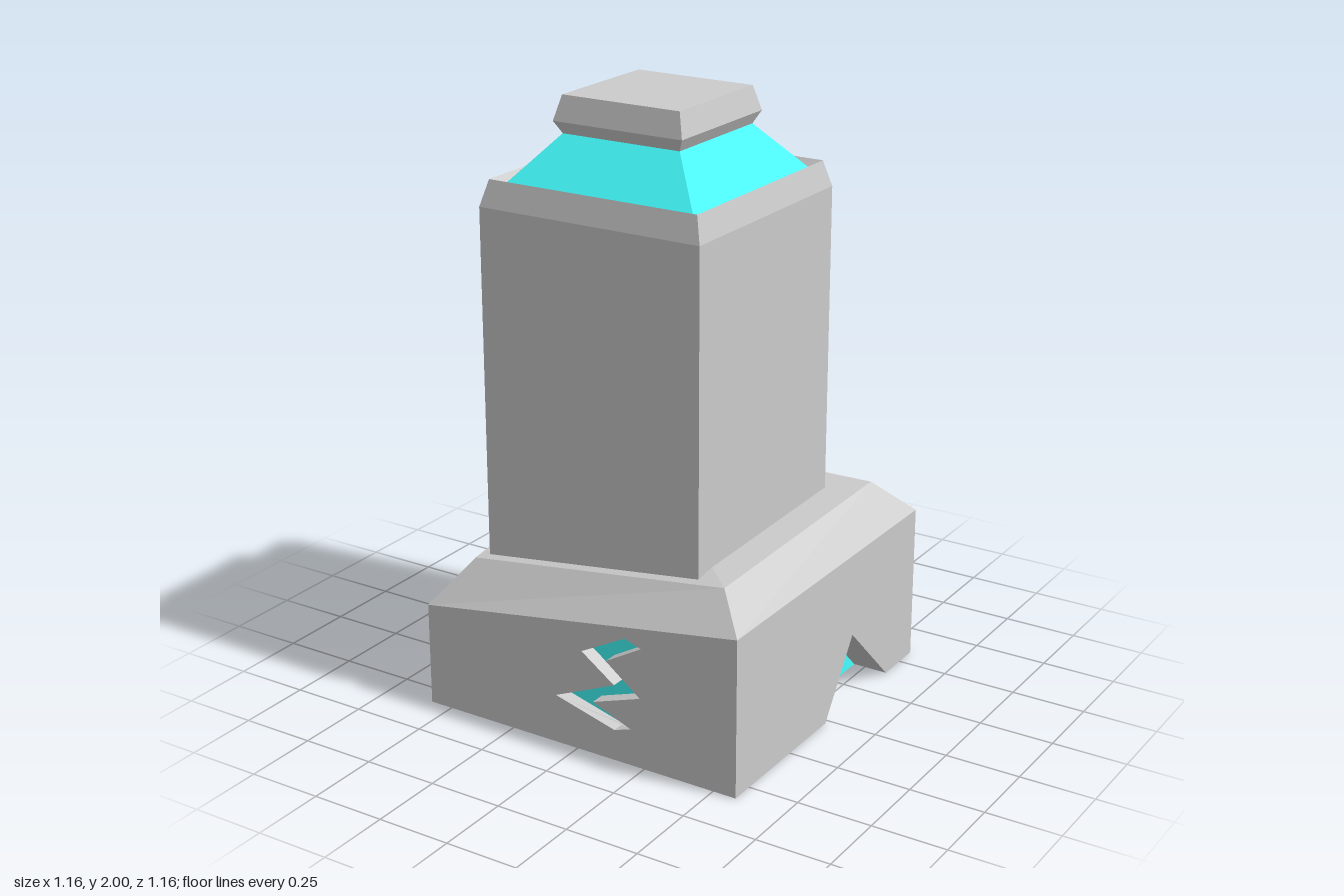
import * as THREE from 'three';

const stone = new THREE.MeshStandardMaterial({ color: 0xcccccc, flatShading: true, side: THREE.DoubleSide });
const glow = new THREE.MeshStandardMaterial({ color: 0x44ffff, flatShading: true, side: THREE.DoubleSide });
const H = 0.58;

function add(parent, name, geometry, material) {
  const mesh = new THREE.Mesh(geometry, material);
  mesh.name = name;
  parent.add(mesh);
  return mesh;
}

const shapeOf = (pts) => new THREE.Shape(pts.map(([x, y]) => new THREE.Vector2(x, y)));

// Faces given as corner lists (counter-clockwise from outside), fanned into triangles
function polyGeometry(faces) {
  const pos = [];
  for (const f of faces)
    for (let i = 1; i < f.length - 1; i++) pos.push(...f[0], ...f[i], ...f[i + 1]);
  const g = new THREE.BufferGeometry();
  g.setAttribute('position', new THREE.Float32BufferAttribute(pos, 3));
  g.computeVertexNormals();
  return g;
}

// Square tower section from a [half width, height] profile
function squareLoft(parent, name, profile, material) {
  const pts = profile.map(([r, y]) => new THREE.Vector2(r * Math.SQRT2, y));
  const g = new THREE.LatheGeometry(pts, 4, Math.PI / 4).toNonIndexed();
  g.computeVertexNormals();
  return add(parent, name, g, material);
}

// One side of the base, with an optional carving: a hole, or a notch open at the floor
function sidePanel(parent, name, angle, yLeft, yRight, cut, depth, isHole) {
  const panel = new THREE.Group();
  panel.name = name;
  panel.rotation.y = angle;
  const notch = cut && !isHole ? cut : [];
  const outline = shapeOf([[-H, 0], ...notch, [H, 0], [H, yRight], [-H, yLeft]]);
  if (isHole) outline.holes.push(new THREE.Path(shapeOf(cut).getPoints()));
  add(panel, name + 'Face', new THREE.ShapeGeometry(outline), stone).position.z = H;
  if (cut) {
    const walls = [];
    const count = isHole ? cut.length : cut.length - 1;
    for (let i = 0; i < count; i++) {
      const a = cut[i], b = cut[(i + 1) % cut.length];
      walls.push([[...a, H], [...b, H], [...b, H - depth], [...a, H - depth]]);
    }
    add(panel, name + 'CarvingWalls', polyGeometry(walls), stone);
    add(panel, name + 'CarvingGlow', new THREE.ShapeGeometry(shapeOf(cut)), glow).position.z = H - depth;
  }
  parent.add(panel);
  return panel;
}

export function createModel() {
  const model = new THREE.Group();
  model.name = 'pillar';

  // Base sides with carvings
  const base = new THREE.Group();
  base.name = 'base';
  model.add(base);
  const bolt = [[0.18, 0.43], [0.02, 0.345], [0.14, 0.26], [-0.08, 0.165], [0.14, 0.105],
    [0.2, 0.125], [0.06, 0.18], [0.235, 0.24], [0.11, 0.335], [0.24, 0.41]];
  const crack = [[-0.02, 0], [0.15, 0.245], [0.4, 0]];
  const doubleCrack = [[-0.09, 0], [-0.056, 0.17], [0.008, 0.085], [0.13, 0.33], [0.275, 0]];
  const crackDepth = 0.12, shallow = 0.05;
  const front = sidePanel(base, 'front', 0, 0.35, 0.53, bolt, shallow, true);
  sidePanel(base, 'leftSide', Math.PI / 2, 0.53, 0.53, crack, crackDepth, false);
  sidePanel(base, 'back', Math.PI, 0.53, 0.53, doubleCrack, shallow, false);
  sidePanel(base, 'rightSide', -Math.PI / 2, 0.53, 0.35);

  // Undercut sliver at the foot of the bolt
  add(front, 'boltLip', polyGeometry([
    [[-0.08, 0.165, H], [0.14, 0.105, H - shallow], [0.2, 0.127, H]]]), stone);

  // Floor, following the two notches
  const floor = shapeOf([[-H, -H], [H, -H], [H, -0.02], [H - crackDepth, -0.02],
    [H - crackDepth, 0.4], [H, 0.4], [H, H], [0.09, H], [0.09, H - shallow],
    [-0.275, H - shallow], [-0.275, H], [-H, H]]);
  add(base, 'floor', new THREE.ShapeGeometry(floor).rotateX(-Math.PI / 2), stone);

  // Slumped bevel and top, sinking toward one front corner
  const outer = [[-H, 0.35, H], [H, 0.53, H], [H, 0.53, -H], [-H, 0.53, -H]];
  const inner = [[-0.47, 0.5, 0.465], [0.465, 0.625, 0.465], [0.465, 0.645, -0.47], [-0.47, 0.625, -0.47]];
  const faces = outer.map((p, i) => {
    const j = (i + 1) % 4;
    return [p, outer[j], inner[j], inner[i]];
  });
  faces.push([inner[1], inner[2], inner[3], inner[0]]);
  add(base, 'baseBevel', polyGeometry(faces), stone);

  // Tower, set slightly off centre
  const tower = new THREE.Group();
  tower.name = 'tower';
  tower.position.set(-0.04, 0, 0.04);
  model.add(tower);
  squareLoft(tower, 'shaft', [[0.395, 0.42], [0.395, 1.665], [0.372, 1.75], [0.348, 1.72]], stone);
  squareLoft(tower, 'glowingNeck', [[0.348, 1.72], [0.21, 1.88]], glow);
  squareLoft(tower, 'cap', [[0, 1.88], [0.21, 1.88], [0.231, 1.92], [0.21, 2], [0, 2]], stone);
  return model;
}
